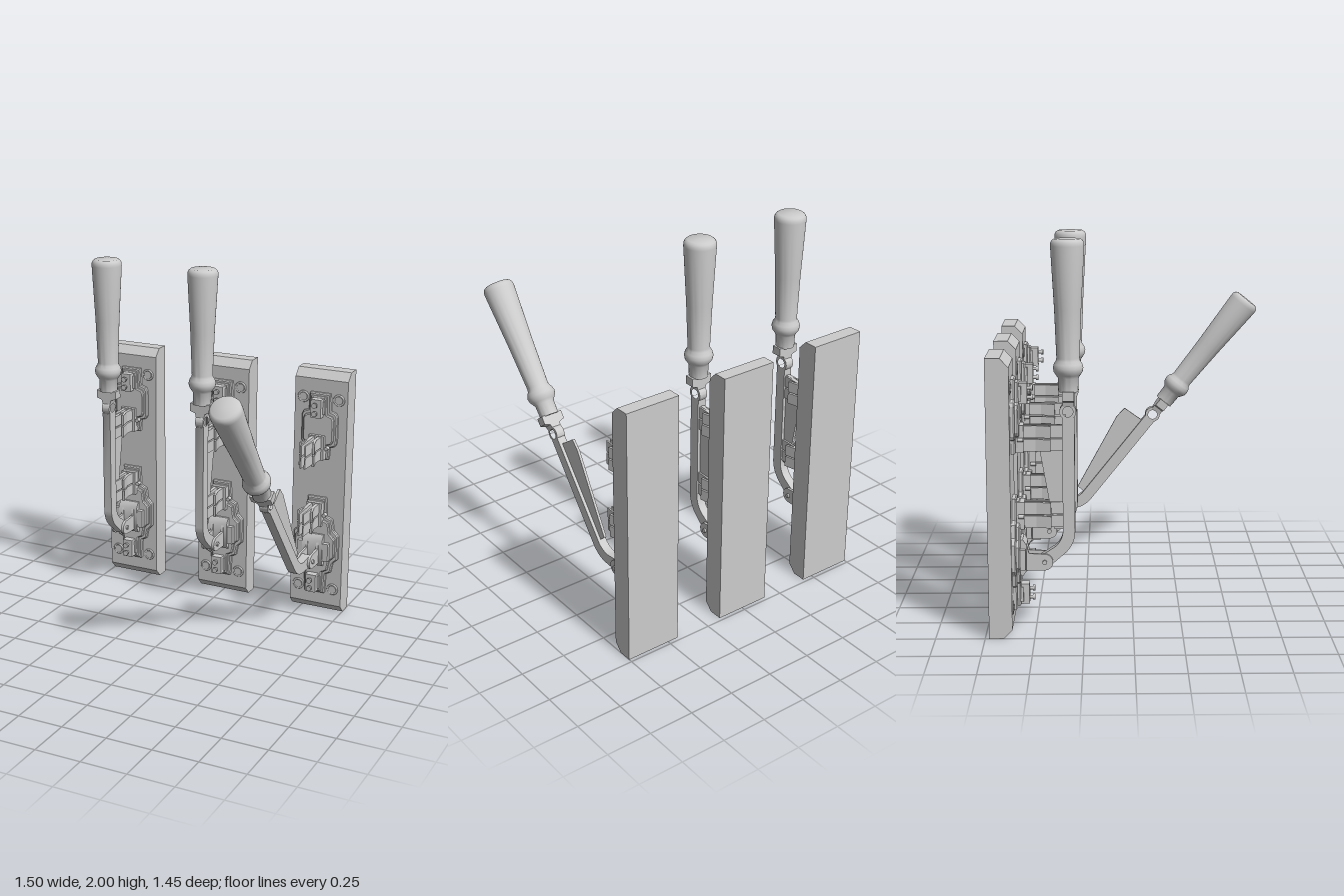
import * as THREE from 'three';
import { toCreasedNormals } from 'three/addons/utils/BufferGeometryUtils.js';

const material = new THREE.MeshStandardMaterial({ color: 0xcccccc });
const PIVOT = { y: 0.365, z: -0.45 };

function add(parent, name, geometry, x = 0, y = 0, z = 0) {
  const mesh = new THREE.Mesh(geometry, material);
  mesh.name = name;
  mesh.position.set(x, y, z);
  parent.add(mesh);
  return mesh;
}
const toShape = (pts) => new THREE.Shape(pts.map(([a, b]) => new THREE.Vector2(a, b)));
const box = (w, h, d) => new THREE.BoxGeometry(w, h, d);

// Side profile drawn in (z, y), given a width along x
function extrudeX(shape, width) {
  const g = new THREE.ExtrudeGeometry(shape, { depth: width, bevelEnabled: false, curveSegments: 16 });
  g.translate(0, 0, -width / 2).rotateY(-Math.PI / 2);
  return toCreasedNormals(g, 0.6);
}
// Plan profile drawn in (x, z), given a height along y
function extrudeY(shape, height) {
  const g = new THREE.ExtrudeGeometry(shape, { depth: height, bevelEnabled: false });
  return g.translate(0, 0, -height / 2).rotateX(Math.PI / 2);
}
// Mirrored outline [half width, y] turned into a plate with chamfered edge
function plate(half, back, front, inset = 0) {
  const cy = (half[0][1] + half[half.length - 1][1]) / 2;
  const pts = half.map(([w, y]) => [w - inset, y + (y > cy ? -inset : inset)]);
  const mirrored = pts.map(([w, y]) => [-w, y]).reverse();
  const bevel = 0.006;
  const g = new THREE.ExtrudeGeometry(toShape([...pts, ...mirrored]), {
    depth: front - back - bevel, bevelThickness: bevel, bevelSize: bevel, bevelOffset: -bevel, bevelSegments: 1,
  });
  return g.translate(0, 0, back);
}
// Cylinder lying along z
const rod = (r, length) => new THREE.CylinderGeometry(r, r, length, 20).rotateX(Math.PI / 2);

const upperOutline = [[0.06, 0.93], [0.065, 1.0], [0.095, 1.01], [0.105, 1.03],
  [0.105, 1.18], [0.095, 1.2], [0.065, 1.21], [0.06, 1.31]];
const lowerOutline = [[0.06, 0.12], [0.065, 0.24], [0.095, 0.255], [0.105, 0.31], [0.135, 0.34],
  [0.135, 0.48], [0.105, 0.51], [0.095, 0.575], [0.06, 0.59], [0.055, 0.7]];

function makeBase() {
  const group = new THREE.Group();
  group.name = 'base';
  const profile = toShape([[-0.73, 0], [-0.655, 0], [-0.612, 0.045], [-0.612, 1.385], [-0.655, 1.43], [-0.73, 1.43]]);
  add(group, 'baseBoard', extrudeX(profile, 0.312));
  for (const y of [0.145, 1.275]) for (const x of [-0.105, 0.105]) {
    add(group, 'mountingScrewRing', new THREE.TorusGeometry(0.028, 0.006, 8, 28), x, y, -0.612);
    add(group, 'mountingScrew', rod(0.023, 0.01), x, y, -0.611);
  }
  return group;
}

function makeTerminal(parent, y) {
  add(parent, 'terminalBlock', box(0.06, 0.105, 0.06), 0, y, -0.56);
  add(parent, 'terminalFoot', box(0.085, 0.075, 0.03), 0, y, -0.575);
  for (const dy of [-0.024, 0.024]) {
    add(parent, 'terminalScrew', rod(0.009, 0.03), 0, y + dy, -0.52);
    add(parent, 'terminalScrewHead', rod(0.015, 0.012), 0, y + dy, -0.508);
  }
}

// Spring jaws: two leaves per side, with a flared outer support
function makeClip(parent, y) {
  const clip = new THREE.Group();
  clip.name = 'contactClip';
  clip.position.y = y;
  parent.add(clip);
  add(clip, 'clipFoot', box(0.09, 0.14, 0.04), 0, 0, -0.57);
  for (const s of [-1, 1]) {
    const leaf = toShape([[0.01, -0.6], [0.022, -0.6], [0.022, -0.5], [0.016, -0.357], [0.008, -0.357]].map(([x, z]) => [s * x, z]));
    const flare = toShape([[0.015, -0.58], [0.032, -0.58], [0.028, -0.49], [0.045, -0.415], [0.032, -0.415], [0.016, -0.49]].map(([x, z]) => [s * x, z]));
    for (const dy of [-0.035, 0.035]) {
      add(clip, 'clipLeaf', extrudeY(leaf, 0.062), 0, dy);
      add(clip, 'clipFlare', extrudeY(flare, 0.062), 0, dy);
    }
    add(clip, 'clipBolt', rod(0.011, 0.03), s * 0.06, 0, -0.565);
  }
}

// Forked bearing that carries the lever
function makeHinge(parent) {
  const hinge = new THREE.Group();
  hinge.name = 'hinge';
  parent.add(hinge);
  const { y, z } = PIVOT;
  const ear = toShape([[-0.59, 0.32], [z, y - 0.042]]);
  ear.absarc(z, y, 0.042, -Math.PI / 2, Math.PI / 2, false);
  ear.lineTo(-0.53, 0.412);
  ear.quadraticCurveTo(-0.54, 0.48, -0.59, 0.49);
  for (const s of [-1, 1]) {
    add(hinge, 'hingeEar', extrudeX(ear, 0.014), s * 0.033);
    add(hinge, 'hingeShoulder', box(0.035, 0.105, 0.05), s * 0.075, 0.39, -0.57);
  }
  const saddle = toShape([[-0.6, 0.3], [-0.56, 0.3], [-0.54, 0.33], [-0.54, 0.46], [-0.56, 0.49], [-0.6, 0.49]]);
  add(hinge, 'hingeSaddle', extrudeX(saddle, 0.12));
  add(hinge, 'pivotPin', new THREE.CylinderGeometry(0.012, 0.012, 0.1, 16).rotateZ(Math.PI / 2), 0, y, z);
}

function makeLever(angle) {
  const lever = new THREE.Group();
  lever.name = 'lever';
  lever.position.set(0, PIVOT.y, PIVOT.z);
  lever.rotation.x = angle;
  const body = new THREE.Group();
  body.name = 'leverBody';
  body.position.set(0, -PIVOT.y, -PIVOT.z);
  lever.add(body);

  // Bent arm with an eye near its top
  const arm = new THREE.Shape();
  arm.moveTo(-0.295, 1.11);
  arm.lineTo(-0.295, 0.52);
  arm.quadraticCurveTo(-0.298, 0.45, -0.35, 0.405);
  arm.lineTo(-0.425, 0.34);
  arm.absarc(PIVOT.z, PIVOT.y, 0.036, -0.86, 2.28, true);
  arm.lineTo(-0.4, 0.44);
  arm.quadraticCurveTo(-0.357, 0.475, -0.357, 0.53);
  arm.lineTo(-0.357, 1.11);
  arm.absarc(-0.328, 1.14, 0.042, Math.PI * 1.25, -Math.PI * 0.25, true);
  const eye = new THREE.Path();
  eye.absarc(-0.328, 1.14, 0.026, 0, Math.PI * 2, true);
  arm.holes.push(eye);
  add(body, 'leverArm', extrudeX(arm, 0.048));

  // Thin contact blade behind the arm
  const blade = toShape([[-0.34, 0.53], [-0.4, 0.53], [-0.482, 1.0], [-0.476, 1.066], [-0.34, 1.074]]);
  add(body, 'contactBlade', extrudeX(blade, 0.014));

  // Yoke flaring out under the handle
  const yoke = toShape([[-0.024, 1.165], [0.024, 1.165], [0.03, 1.19], [0.06, 1.2], [0.06, 1.245], [-0.06, 1.245], [-0.06, 1.2], [-0.03, 1.19]]);
  const yokeGeometry = new THREE.ExtrudeGeometry(yoke, { depth: 0.058, bevelEnabled: false });
  add(body, 'yoke', yokeGeometry, 0, 0, -0.354);

  // Turned handle with a ferrule, a bead and a tapered grip
  const profile = [[0, 1.24], [0.05, 1.24], [0.052, 1.31], [0.062, 1.325], [0.072, 1.34], [0.076, 1.36],
    [0.071, 1.38], [0.06, 1.397], [0.058, 1.41], [0.067, 1.65], [0.084, 1.965], [0.083, 1.98],
    [0.077, 1.992], [0.066, 2.0], [0, 2.0]].map(([r, y]) => new THREE.Vector2(r, y));
  add(body, 'handle', toCreasedNormals(new THREE.LatheGeometry(profile, 40), 0.75), 0, 0, -0.325);
  return lever;
}

function makeSwitch(x, angle) {
  const unit = new THREE.Group();
  unit.name = 'knifeSwitch';
  unit.position.x = x;
  unit.add(makeBase());
  for (const [name, outline] of [['upperPlate', upperOutline], ['lowerPlate', lowerOutline]]) {
    add(unit, name, plate(outline, -0.62, -0.59));
    add(unit, name + 'Step', plate(outline, -0.6, -0.572, 0.016));
  }
  makeTerminal(unit, 0.195);
  makeTerminal(unit, 1.235);
  makeClip(unit, 1.005);
  makeClip(unit, 0.61);
  makeHinge(unit);
  unit.add(makeLever(angle));
  return unit;
}

export function createModel() {
  const model = new THREE.Group();
  model.name = 'knifeSwitches';
  // Two closed switches and one thrown open
  model.add(makeSwitch(-0.594, 0), makeSwitch(0, 0), makeSwitch(0.594, 0.675));
  return model;
}
